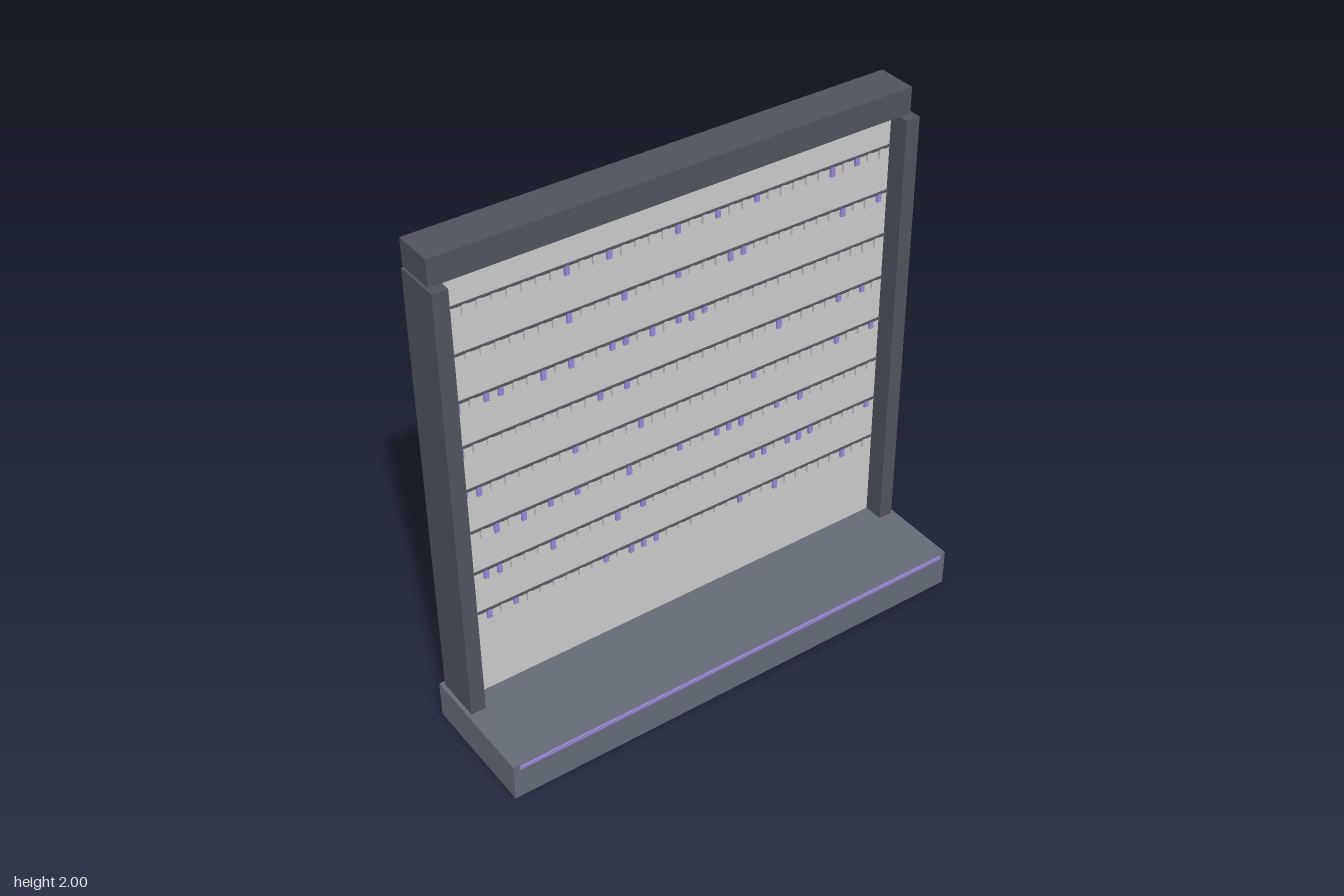
import * as THREE from 'three';

const material = (color) => new THREE.MeshStandardMaterial({ color });
const baseMat = material(0x646c78);
const frameMat = material(0x4f545c);
const panelMat = material(0xcccccc);
const accentMat = material(0x9a86d8);

// Box given by its minimum and maximum along each axis
function box(name, mat, [x0, x1], [y0, y1], [z0, z1]) {
  const mesh = new THREE.Mesh(new THREE.BoxGeometry(x1 - x0, y1 - y0, z1 - z0), mat);
  mesh.position.set((x0 + x1) / 2, (y0 + y1) / 2, (z0 + z1) / 2);
  mesh.name = name;
  return mesh;
}

// Small seeded generator for the varied tag lengths
function seeded(seed) {
  return () => (seed = (seed * 16807) % 2147483647) / 2147483647;
}

// Positions of the coloured tags on each rail, top rail first
const COLOURED = [
  [8, 11, 16, 19, 22, 28, 30],
  [8, 12, 16, 20, 21, 29, 32],
  [0, 2, 3, 6, 8, 11, 12, 14, 16, 17, 18],
  [0, 10, 12, 24, 29, 31],
  [0, 1, 8, 13, 22, 29, 32],
  [2, 4, 6, 8, 12, 16, 19, 20, 21, 24, 26],
  [1, 2, 6, 11, 13, 22, 23, 25, 26, 27, 32],
  [1, 3, 10, 12, 13, 14, 21, 24, 30],
];
const TAGS = 33;
const PANEL_FRONT = -0.135;

export function createModel() {
  const model = new THREE.Group();
  model.name = 'displayWall';

  // Plinth with a light strip along its front edge
  model.add(box('base', baseMat, [-0.97, 0.97], [0, 0.15], [-0.255, 0.25]));
  model.add(box('lightStrip', accentMat, [-0.945, 0.945], [0.13, 0.146], [0.245, 0.255]));

  // Back panel, side posts and header
  model.add(box('backPanel', panelMat, [-0.9, 0.9], [0.15, 1.9], [-0.242, PANEL_FRONT]));
  model.add(box('rightPost', frameMat, [-0.955, -0.897], [0.15, 1.9], [-0.24, -0.054]));
  model.add(box('leftPost', frameMat, [0.897, 0.955], [0.15, 1.9], [-0.24, -0.054]));
  model.add(box('header', frameMat, [-0.945, 0.945], [1.9, 2], [-0.25, -0.092]));

  // Rails, each with a row of hanging tags
  const random = seeded(7);
  COLOURED.forEach((coloured, row) => {
    const y = 1.775 - row * 0.18;
    const rack = new THREE.Group();
    rack.name = 'rack';
    rack.add(box('rail', frameMat, [-0.897, 0.897], [y - 0.004, y + 0.002], [PANEL_FRONT, PANEL_FRONT + 0.008]));
    for (let i = 0; i < TAGS; i++) {
      const x = (i - (TAGS - 1) / 2) * 0.0538 - 0.004;
      const length = 0.026 + 0.015 * random();
      rack.add(box('tag', coloured.includes(i) ? accentMat : panelMat,
        [x - 0.009, x + 0.009], [y - length, y - 0.002], [PANEL_FRONT, PANEL_FRONT + 0.01]));
    }
    model.add(rack);
  });
  return model;
}
